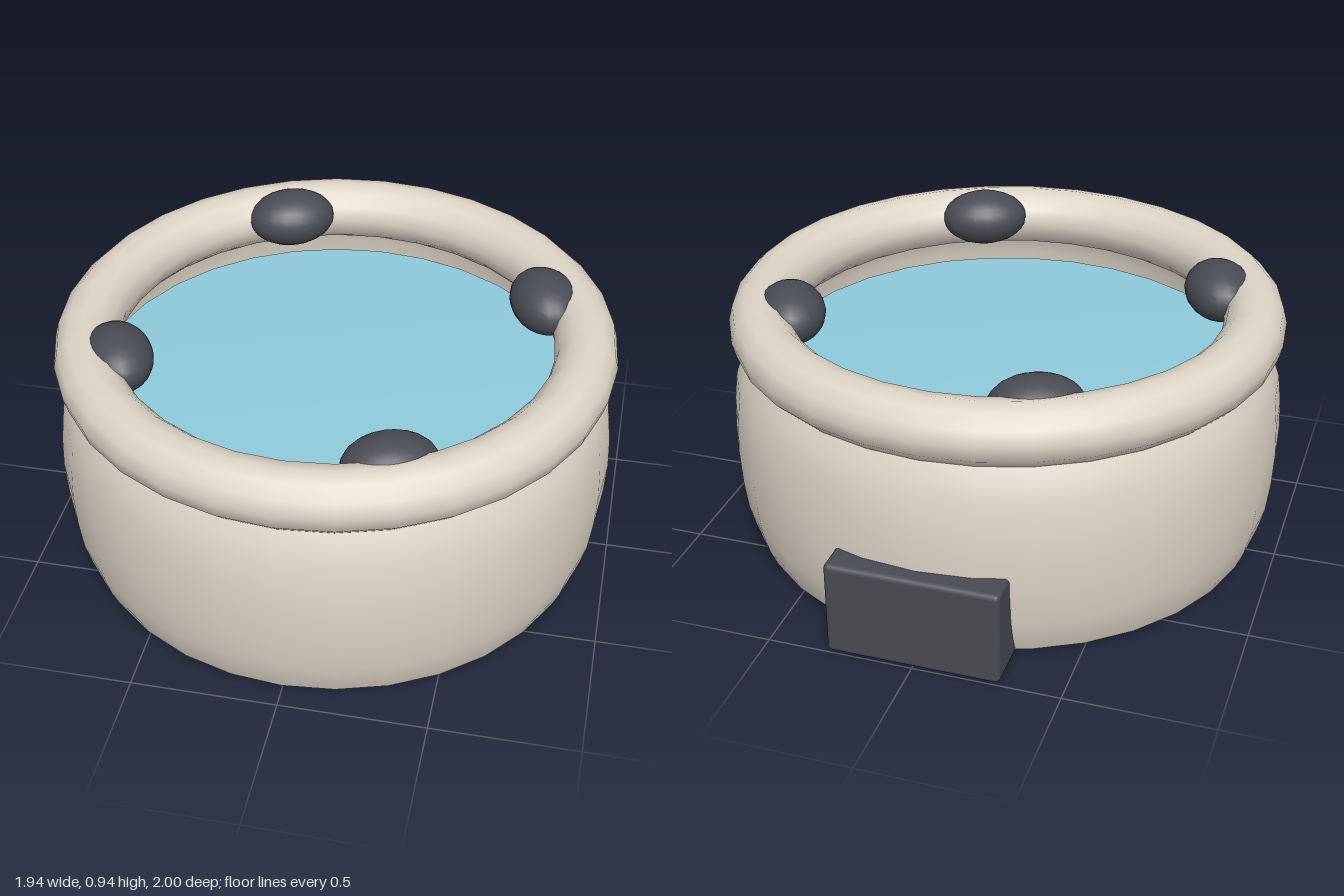
import * as THREE from 'three';
import { mergeVertices } from 'three/addons/utils/BufferGeometryUtils.js';
import { RoundedBoxGeometry } from 'three/addons/geometries/RoundedBoxGeometry.js';

const SIDES = 32;
const CENTRE_Z = 0.025;

export function createModel() {
  const model = new THREE.Group();
  const vinyl = new THREE.MeshStandardMaterial({ color: 0xddd5c7, side: THREE.DoubleSide });
  const blue = new THREE.MeshStandardMaterial({ color: 0x8fcadb, side: THREE.DoubleSide });
  const dark = new THREE.MeshStandardMaterial({ color: 0x484b52 });

  const add = (name, geometry, material, x, y, z) => {
    const mesh = new THREE.Mesh(geometry, material);
    mesh.name = name;
    mesh.position.set(x, y, z);
    model.add(mesh);
    return mesh;
  };
  const lathe = (points) =>
    new THREE.LatheGeometry(points.map(([r, y]) => new THREE.Vector2(r, y)), SIDES);

  // Bulging side wall, open at both ends
  const wall = lathe([
    [0.905, 0.02], [0.93, 0.08], [0.951, 0.16], [0.964, 0.27], [0.97, 0.39],
    [0.965, 0.5], [0.953, 0.6], [0.932, 0.66], [0.91, 0.71], [0.885, 0.76],
  ]);
  add('tubWall', wall, vinyl, 0, 0, CENTRE_Z);

  // Inflated ring around the opening
  const ring = new THREE.TorusGeometry(0.857, 0.107, 12, SIDES);
  ring.rotateX(Math.PI / 2);
  add('topRing', ring, vinyl, 0, 0.808, CENTRE_Z);

  // Floor: flat underside with a slightly raised top
  const underside = new THREE.CircleGeometry(0.835, SIDES).rotateX(Math.PI / 2);
  add('floorUnderside', underside, vinyl, 0, 0, CENTRE_Z);
  add('floorTop', lathe([[0.835, 0], [0.65, 0.02], [0.3, 0.028], [0, 0.03]]), vinyl, 0, 0, CENTRE_Z);

  // Thin water disc with softly rounded shading at its edge
  let water = new THREE.CylinderGeometry(0.86, 0.86, 0.03, SIDES);
  water.deleteAttribute('normal');
  water.deleteAttribute('uv');
  water = mergeVertices(water);
  water.computeVertexNormals();
  add('water', water, blue, 0, 0.6, CENTRE_Z);

  // Four oval headrests on the inner side of the ring
  const headrest = new THREE.SphereGeometry(1, 20, 14).scale(0.16, 0.1, 0.12);
  for (let i = 0; i < 4; i++) {
    const angle = 0.425 + i * Math.PI / 2;
    const pillow = add('headrest', headrest, dark,
      Math.sin(angle) * 0.75, 0.84, CENTRE_Z + Math.cos(angle) * 0.75);
    pillow.rotation.y = angle;
  }

  // Pump box pushed into the back of the wall
  add('pumpBox', new RoundedBoxGeometry(0.59, 0.338, 0.4, 2, 0.018), dark, 0, 0.171, -0.8);

  return model;
}
